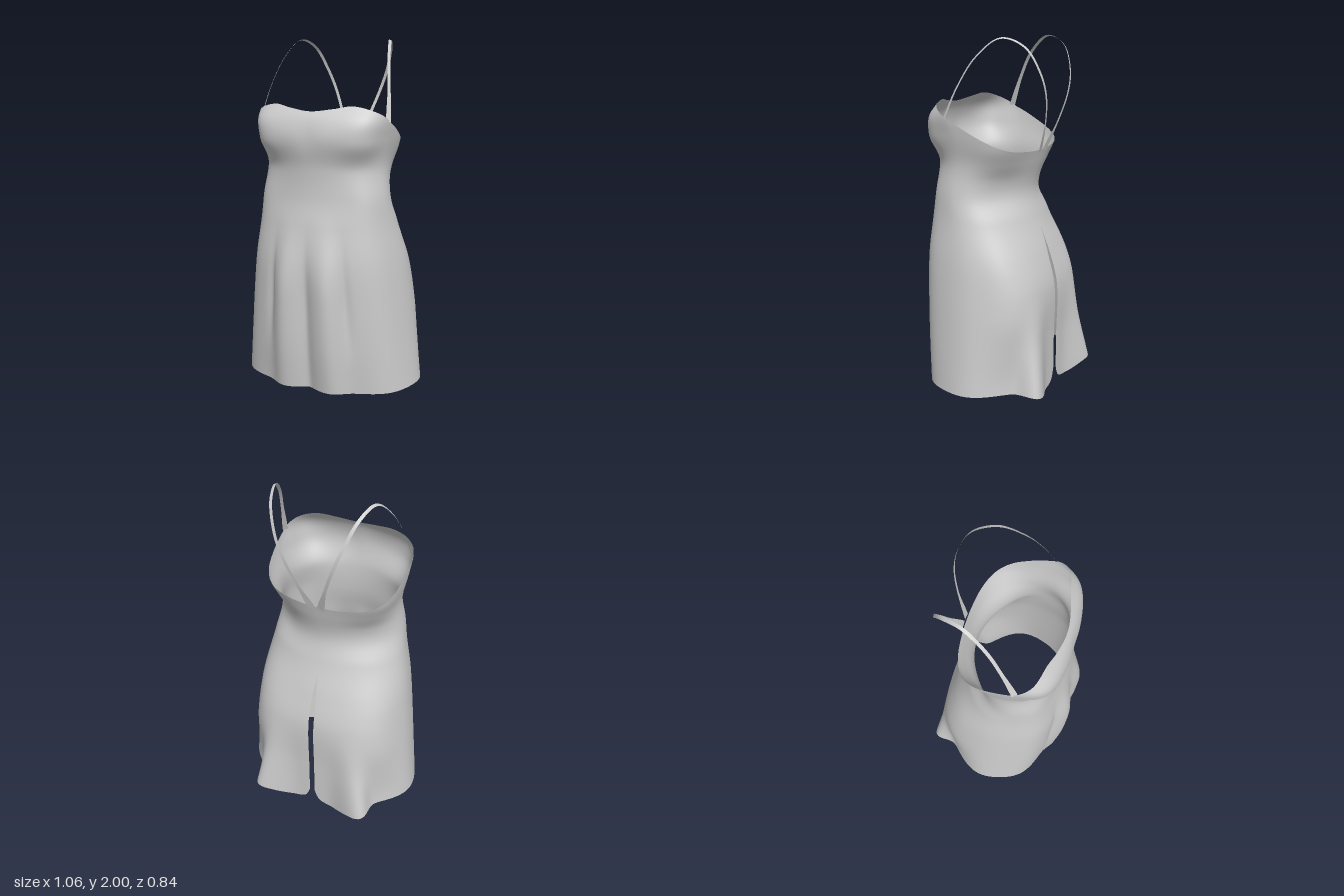
import * as THREE from 'three';
import { mergeVertices } from 'three/addons/utils/BufferGeometryUtils.js';

const material = new THREE.MeshStandardMaterial({ color: 0xcccccc, side: THREE.DoubleSide });
const { smoothstep, lerp, degToRad } = THREE.MathUtils;

// Smooth interpolation through rows [key, value, value, ...]
function sample(rows, key, col) {
  let i = 0;
  while (i < rows.length - 2 && key > rows[i + 1][0]) i++;
  const slope = (j) => {
    const a = rows[Math.max(j - 1, 0)], b = rows[Math.min(j + 1, rows.length - 1)];
    return (b[col] - a[col]) / (b[0] - a[0]);
  };
  const p = rows[i], q = rows[i + 1], h = q[0] - p[0];
  const s = THREE.MathUtils.clamp((key - p[0]) / h, 0, 1);
  const s2 = s * s, s3 = s2 * s;
  return p[col] * (2 * s3 - 3 * s2 + 1) + q[col] * (3 * s2 - 2 * s3)
    + h * (slope(i) * (s3 - 2 * s2 + s) + slope(i + 1) * (s3 - s2));
}

// Height, half width, front z, back z, z of the widest point
const body = [
  [0.0, 0.538, 0.343, -0.345, -0.02],
  [0.3, 0.504, 0.377, -0.345, -0.02],
  [0.6, 0.468, 0.393, -0.345, 0],
  [0.8, 0.44, 0.393, -0.295, 0.02],
  [1.0, 0.4, 0.365, -0.225, 0.06],
  [1.15, 0.376, 0.338, -0.19, 0.1],
  [1.32, 0.356, 0.338, -0.225, 0.08],
  [1.48, 0.38, 0.368, -0.27, 0.09],
  [1.58, 0.388, 0.343, -0.3, 0.13],
  [1.66, 0.373, 0.285, -0.32, 0.14],
];

// Degrees from the front, height of the upper edge
const neckline = [[-20, 1.64], [0, 1.625], [20, 1.64], [36, 1.655], [55, 1.635], [85, 1.58],
  [110, 1.482], [135, 1.408], [160, 1.385], [180, 1.38]];

// Degrees from the front, height of the hem, with rounded corners at the slit
const hemline = [[0, 0.055], [90, 0.055], [145, 0.06], [156, 0.04], [163, 0.008],
  [170, 0.004], [175, 0.015], [178, 0.04], [180, 0.09]];

// Angle, angular width, strength, heights between which it grows in, then fades out
const folds = [
  // Front: centre pleat, the fullness beside it, a short crease, the side fronts
  [0, 0.08, -0.05, -1, 0, 0.5, 1.05],
  [0.26, 0.16, 0.105, -1, 0, 0.6, 1.1],
  [0.5, 0.06, -0.035, 0.2, 0.6, 0.6, 1.05],
  [0.85, 0.32, 0.06, -1, 0, 1.1, 1.4],
  // Bust corners, the squarer upper back and the hollow of the waist
  [0.78, 0.36, 0.115, 1.3, 1.46, 1.54, 1.72],
  [2.3, 0.45, 0.14, 1.22, 1.42, 2, 3],
  [2.4, 0.45, -0.06, 1, 1.13, 1.15, 1.32],
  // Back: flares beside the slit, and the seat
  [2.66, 0.16, 0.36, -1, 0, -0.1, 0.62],
  [2.6, 0.32, 0.06, -1, 0, 0.5, 0.95],
  [2.35, 0.38, 0.08, 0.1, 0.5, 0.72, 1.05],
];

function surfacePoint(angle, y) {
  const t = Math.abs(angle), side = angle < 0 ? -1 : 1;
  const [w, front, back, mid] = [1, 2, 3, 4].map((c) => sample(body, y, c));
  let swell = 1;
  for (const [at, width, strength, in0, in1, out0, out1] of folds) {
    swell += strength * Math.exp(-(((t - at) / width) ** 2))
      * smoothstep(y, in0, in1) * (1 - smoothstep(y, out0, out1));
  }
  // Shallow dip between the cups
  swell -= 0.03 * Math.exp(-((t / 0.2) ** 2) - ((y - 1.5) / 0.09) ** 2);
  // The back slit parts below the hips
  const gap = 0.016 * (1 - smoothstep(y, 0.7, 0.95)) * Math.exp(-(((Math.PI - t) / 0.15) ** 2));
  const depth = Math.cos(t) > 0 ? front - mid : mid - back;
  return [side * (w * Math.sin(t) * swell + gap), y, mid + depth * Math.cos(t) * swell];
}

// Surface from rows of points
function grid(cols, rows, point) {
  const positions = [], index = [];
  for (let j = 0; j <= rows; j++) {
    for (let i = 0; i <= cols; i++) positions.push(...point(i / cols, j / rows));
  }
  for (let j = 0; j < rows; j++) {
    for (let i = 0; i < cols; i++) {
      const a = j * (cols + 1) + i, b = a + cols + 1;
      index.push(a, a + 1, b, a + 1, b + 1, b);
    }
  }
  let geometry = new THREE.BufferGeometry();
  geometry.setAttribute('position', new THREE.Float32BufferAttribute(positions, 3));
  geometry.setIndex(index);
  geometry = mergeVertices(geometry, 1e-5);
  geometry.computeVertexNormals();
  return geometry;
}

function dressGeometry() {
  return grid(260, 90, (u, v) => {
    const angle = (u * 2 - 1) * Math.PI;
    const degrees = Math.abs(angle) / degToRad(1);
    return surfacePoint(angle, lerp(sample(hemline, degrees, 1), sample(neckline, degrees, 1), v));
  });
}

// Flat ribbon over the shoulder, wider where it is sewn on
function strapGeometry(side) {
  const path = new THREE.CatmullRomCurve3([
    [0.388, 1.57, 0.15], [0.362, 1.74, 0.08], [0.322, 1.9, -0.015], [0.28, 1.995, -0.14],
    [0.24, 1.95, -0.26], [0.19, 1.82, -0.325], [0.142, 1.7, -0.338], [0.085, 1.55, -0.31],
    [0.025, 1.375, -0.25],
  ].map(([x, y, z]) => new THREE.Vector3(x * side, y, z)));
  const centre = new THREE.Vector3(0.1 * side, 1.6, -0.1);
  return grid(1, 64, (u, v) => {
    const p = path.getPoint(v);
    const across = path.getTangent(v).cross(p.clone().sub(centre)).normalize();
    const half = 0.009 + 0.007 * (1 - smoothstep(v, 0, 0.15)) + 0.013 * smoothstep(v, 0.88, 1);
    return p.addScaledVector(across, (1 - 2 * u) * half).toArray();
  });
}

export function createModel() {
  const model = new THREE.Group();
  model.name = 'slipDress';
  const add = (name, geometry) => {
    const mesh = new THREE.Mesh(geometry, material);
    mesh.name = name;
    model.add(mesh);
  };
  add('dressBody', dressGeometry());
  add('leftStrap', strapGeometry(1));
  add('rightStrap', strapGeometry(-1));
  return model;
}
